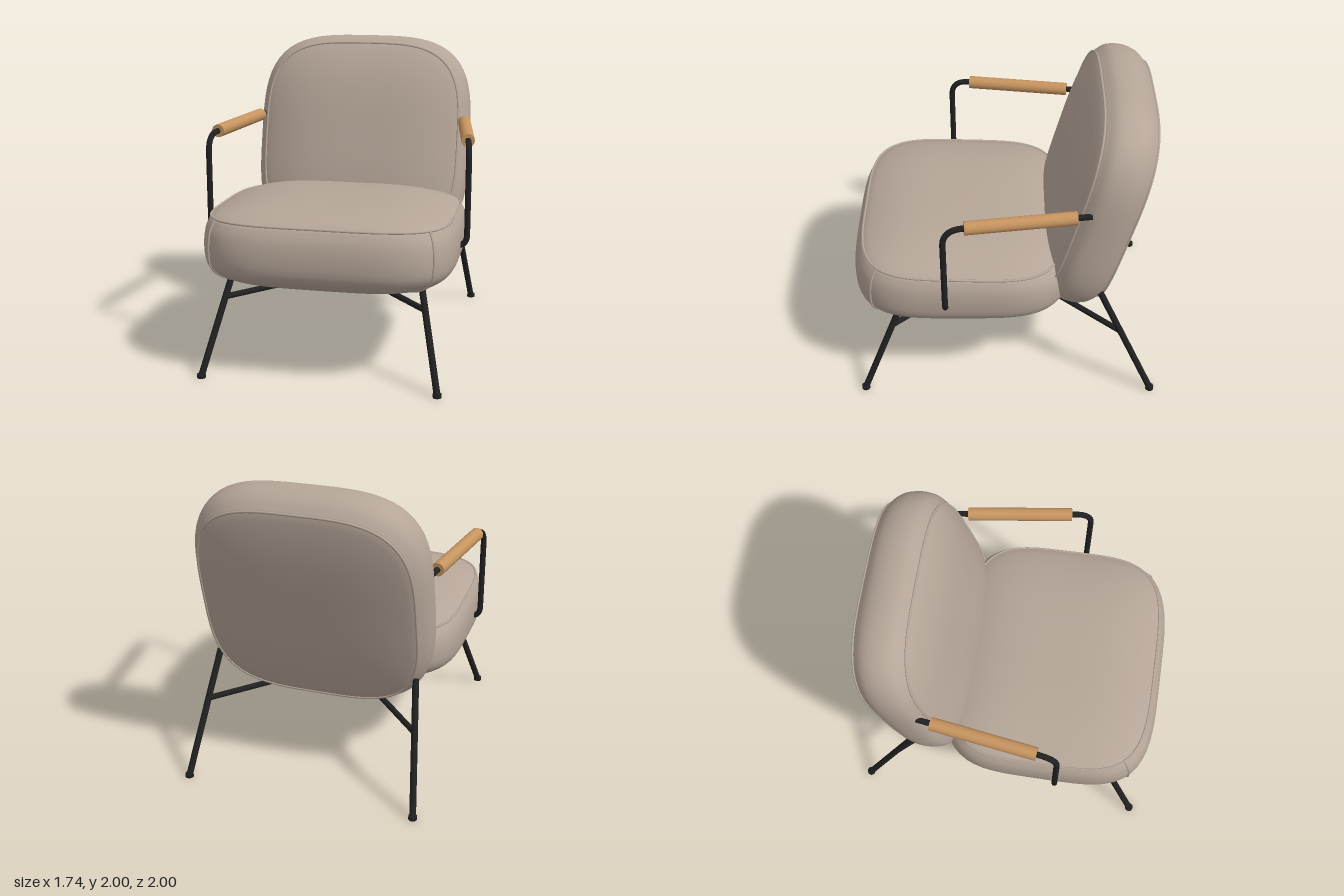
import * as THREE from 'three';

const V = (x, y, z) => new THREE.Vector3(x, y, z);

const fabric = new THREE.MeshStandardMaterial({ color: 0xb5a598 });
fabric.name = 'taupe fabric';
const metal = new THREE.MeshStandardMaterial({ color: 0x202020 });
metal.name = 'black metal';
const wood = new THREE.MeshStandardMaterial({ color: 0xc6945f });
wood.name = 'light wood';

const SIDES = 96;

function mesh(name, geometry, material) {
  const m = new THREE.Mesh(geometry, material);
  m.name = name;
  return m;
}

// Straight round bar between two points
function rod(name, a, b, radius, material) {
  const m = mesh(name, new THREE.CylinderGeometry(radius, radius, a.distanceTo(b), 20), material);
  m.position.copy(a).lerp(b, 0.5);
  m.quaternion.setFromUnitVectors(V(0, 1, 0), b.clone().sub(a).normalize());
  return m;
}

// Point on a superellipse ring; section = (half width, half length, height)
function ringPoint(section, angle, power, warp) {
  const c = Math.cos(angle), s = Math.sin(angle);
  const r = Math.pow(Math.abs(c) ** power + Math.abs(s) ** power, -1 / power);
  return warp(V(section.x * r * c, section.y * r * s, section.z));
}

// Sections of a domed face, from its middle out to the seam
function dome(seam, height) {
  const out = [];
  for (let i = 0; i <= 14; i++) {
    const s = i / 14;
    out.push(V(seam.x * s, seam.y * s, seam.z + height * (1 - s ** 3.5)));
  }
  return out;
}

// Closed skin through a stack of rings, ordered from high z to low z
function cushionSkin(sections, power, warp) {
  const pos = [], index = [];
  for (const section of sections)
    for (let j = 0; j < SIDES; j++)
      pos.push(...ringPoint(section, (j / SIDES) * Math.PI * 2, power, warp).toArray());
  for (let i = 0; i < sections.length - 1; i++)
    for (let j = 0; j < SIDES; j++) {
      const k = (j + 1) % SIDES;
      const a = i * SIDES + j, b = a + SIDES, c = (i + 1) * SIDES + k, d = i * SIDES + k;
      index.push(a, b, c, a, c, d);
    }
  const g = new THREE.BufferGeometry();
  g.setAttribute('position', new THREE.Float32BufferAttribute(pos, 3));
  g.setIndex(index);
  g.computeVertexNormals();
  return g;
}

// Thin piping along a line of points
function piping(name, points, closed) {
  const curve = new THREE.CatmullRomCurve3(points, closed);
  return mesh(name, new THREE.TubeGeometry(curve, closed ? 192 : 40, 0.008, 8, closed), fabric);
}

function seamLoop(name, section, power, warp) {
  const points = [];
  for (let j = 0; j < SIDES; j++) points.push(ringPoint(section, (j / SIDES) * Math.PI * 2, power, warp));
  return piping(name, points, true);
}

// Seat: built lying in xy, then turned so its thickness points up
function makeSeat() {
  const group = new THREE.Group();
  group.name = 'seat';
  const power = 4;
  // the upper seam drops slightly toward the back
  const warp = (p) => {
    const upper = THREE.MathUtils.clamp((p.z - 0.79) / 0.21, 0, 1);
    p.z -= 0.03 * (p.y + 0.66) * upper;
    return p;
  };
  const seam = V(0.77, 0.66, 1.005);
  const side = new THREE.CatmullRomCurve3([
    seam, V(0.8, 0.7, 0.93), V(0.81, 0.72, 0.8), V(0.795, 0.708, 0.7), V(0.74, 0.655, 0.638),
    V(0.6, 0.53, 0.58), V(0.3, 0.26, 0.525), V(0, 0, 0.507),
  ]).getSpacedPoints(48);
  const sections = [...dome(seam, 0.1), ...side.slice(1)];
  group.add(mesh('seatCushion', cushionSkin(sections, power, warp), fabric));
  group.add(seamLoop('seatTopSeam', seam, power, warp));
  // front corner seams
  for (const s of [1, -1]) {
    const angle = -Math.PI / 2 + s * 0.82;
    const points = side.slice(0, 26).map((q) => {
      // keep the angle in proportion to the outline
      return ringPoint(q, angle, power, warp);
    });
    group.add(piping('seatCornerSeam', points, false));
  }
  group.rotation.x = -Math.PI / 2;
  group.position.z = 0.28;
  return group;
}

// Backrest: thick cushion leaning back, piped on both faces
function makeBackrest() {
  const group = new THREE.Group();
  group.name = 'backrest';
  const power = 3.5;
  const warp = (p) => p;
  const front = V(0.685, 0.675, 0.2), rear = V(0.69, 0.69, -0.137);
  const side = new THREE.CatmullRomCurve3([
    front, V(0.738, 0.735, 0.13), V(0.753, 0.755, 0.03), V(0.738, 0.74, -0.06), rear,
  ]).getSpacedPoints(20);
  const sections = [...dome(front, 0.09), ...side.slice(1), ...dome(rear, -0.055).reverse().slice(1)];
  group.add(mesh('backCushion', cushionSkin(sections, power, warp), fabric));
  group.add(seamLoop('backFrontSeam', front, power, warp));
  group.add(seamLoop('backRearSeam', rear, power, warp));
  group.rotation.x = -0.265;
  group.position.set(0, 1.256, -0.62);
  return group;
}

// One armrest: bent metal tube with a wooden grip
function makeArm(s) {
  const group = new THREE.Group();
  group.name = s > 0 ? 'leftArmrest' : 'rightArmrest';
  const path = new THREE.CurvePath();
  const p = (x, y, z) => V(s * x, y, z);
  const line = (a, b) => path.add(new THREE.LineCurve3(a, b));
  const bend = (a, b, c) => path.add(new THREE.QuadraticBezierCurve3(a, b, c));
  line(p(0.77, 0.79, 0.38), p(0.8, 0.8, 0.38));
  bend(p(0.8, 0.8, 0.38), p(0.848, 0.81, 0.38), p(0.848, 0.87, 0.38));
  line(p(0.848, 0.87, 0.38), p(0.848, 1.33, 0.38));
  bend(p(0.848, 1.33, 0.38), p(0.848, 1.45, 0.38), p(0.829, 1.45, 0.26));
  line(p(0.829, 1.45, 0.26), p(0.717, 1.45, -0.52));
  group.add(mesh('armTube', new THREE.TubeGeometry(path, 120, 0.019, 14), metal));
  group.add(rod('armTubeEnd', p(0.72, 1.45, -0.5), p(0.717, 1.45, -0.521), 0.019, metal));
  group.add(rod('armGrip', p(0.826, 1.45, 0.25), p(0.73, 1.45, -0.43), 0.043, wood));
  return group;
}

export function createModel() {
  const model = new THREE.Group();
  model.name = 'armchair';
  model.add(makeSeat(), makeBackrest());

  const frame = new THREE.Group();
  frame.name = 'frame';
  for (const s of [1, -1]) {
    model.add(makeArm(s));
    // splayed legs with small feet
    const legs = [
      ['frontLeg', V(s * 0.61, 0.605, 0.695), V(s * 0.747, 0.012, 0.945)],
      ['rearLeg', V(s * 0.66, 0.78, -0.61), V(s * 0.758, 0.012, -0.972)],
    ];
    for (const [name, top, foot] of legs) {
      frame.add(rod(name, top, foot, 0.021, metal));
      frame.add(rod('foot', V(foot.x, 0, foot.z), V(foot.x, 0.024, foot.z), 0.027, metal));
    }
    // diagonal stretcher, crossing its mirror twin under the seat
    frame.add(rod('crossStretcher', V(s * 0.638, 0.48, 0.748), V(-s * 0.698, 0.48, -0.75), 0.019, metal));
  }
  model.add(frame);
  return model;
}
